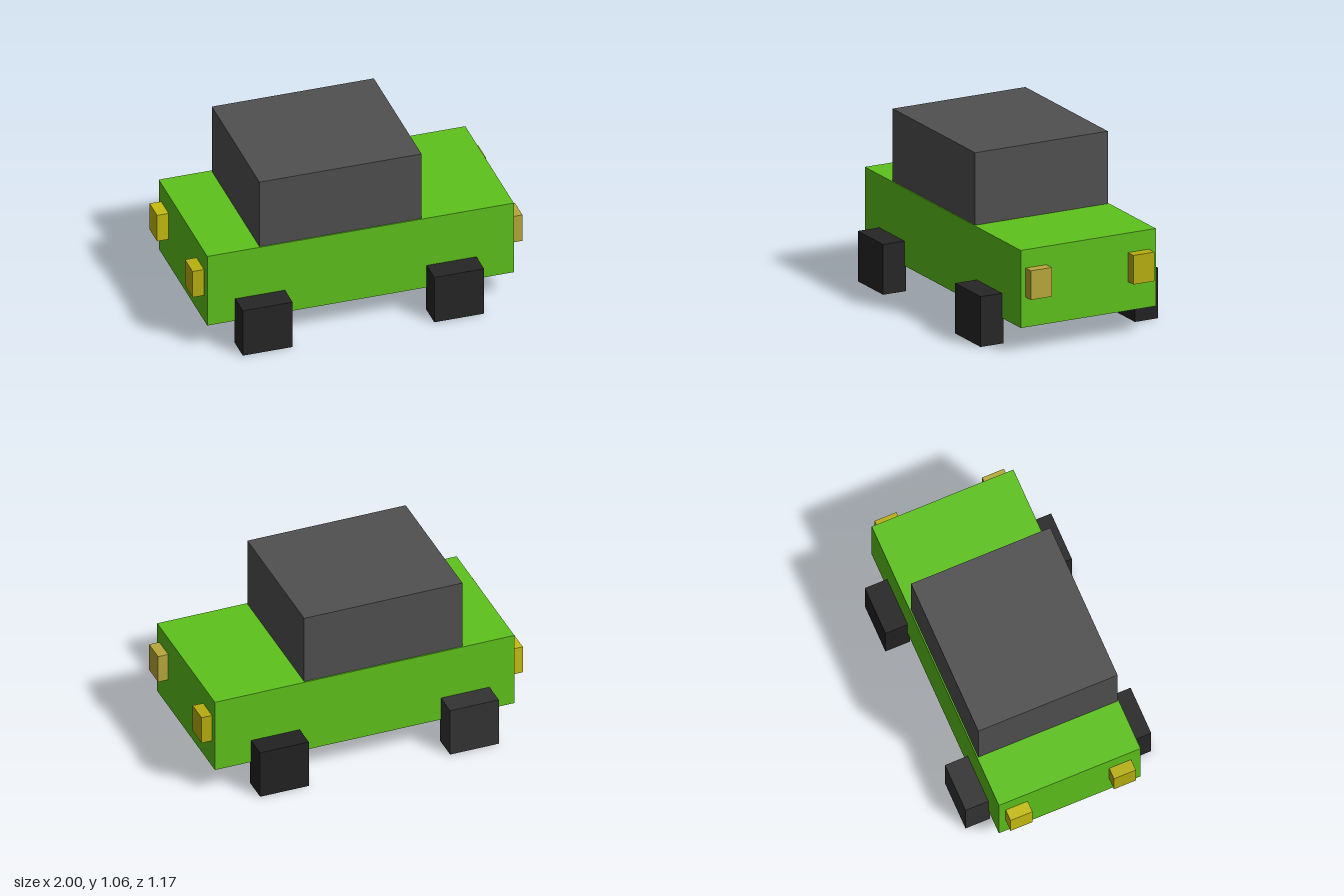
import * as THREE from 'three';

// Box given by its lower and upper corners
function block(name, color, [x0, y0, z0], [x1, y1, z1]) {
  const mesh = new THREE.Mesh(
    new THREE.BoxGeometry(x1 - x0, y1 - y0, z1 - z0),
    new THREE.MeshStandardMaterial({ color })
  );
  mesh.position.set((x0 + x1) / 2, (y0 + y1) / 2, (z0 + z1) / 2);
  mesh.name = name;
  return mesh;
}

export function createModel() {
  const car = new THREE.Group();
  car.name = 'car';

  // Body and cabin
  car.add(block('body', 0x5ec21c, [-0.93, 0.155, -0.445], [0.935, 0.624, 0.445]));
  car.add(block('cabin', 0x505050, [-0.61, 0.624, -0.437], [0.376, 1.062, 0.438]));

  // Block wheels: name, colour, starting x, inner z, outer z
  const wheels = [
    ['frontLeftWheel', 0x262626, 0.405, 0.435, 0.585],
    ['frontRightWheel', 0x262626, -0.76, 0.435, 0.585],
    ['backLeftWheel', 0x222222, 0.407, -0.585, -0.432],
    ['backRightWheel', 0x333333, -0.775, -0.588, -0.435],
  ];
  for (const [name, color, x, z0, z1] of wheels) {
    car.add(block(name, color, [x, 0, z0], [x + 0.303, 0.304, z1]));
  }

  // Lamps on both ends: name, colour, x range, lower y, lower z
  const lamps = [
    ['leftFrontLamp', 0xb9a83a, 0.93, 0.998, 0.337, 0.275],
    ['leftBackLamp', 0xb8ae10, 0.93, 1, 0.33, -0.4],
    ['rightFrontLamp', 0xb8b010, -1, -0.925, 0.325, 0.248],
    ['rightBackLamp', 0xc6be10, -1, -0.925, 0.325, -0.402],
  ];
  for (const [name, color, x0, x1, y, z] of lamps) {
    car.add(block(name, color, [x0, y, z], [x1, y + 0.176, z + 0.138]));
  }

  return car;
}
